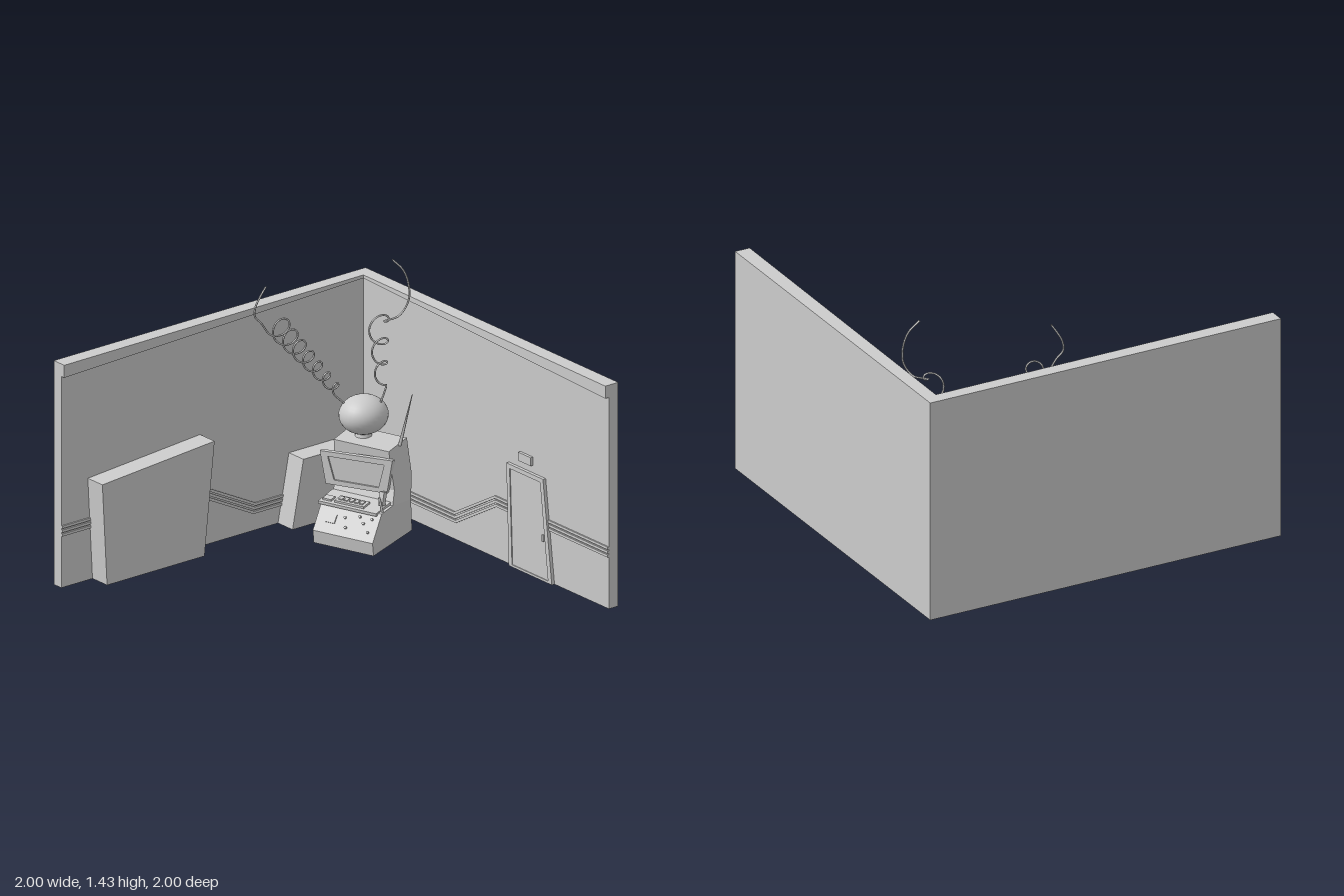
import * as THREE from 'three';
import { ConvexGeometry } from 'three/addons/geometries/ConvexGeometry.js';

const mat = new THREE.MeshStandardMaterial({ color: 0xcccccc, side: THREE.DoubleSide });

function add(parent, name, geo, x = 0, y = 0, z = 0) {
  const m = new THREE.Mesh(geo, mat);
  m.name = name;
  m.position.set(x, y, z);
  parent.add(m);
  return m;
}
const box = (w, h, d) => new THREE.BoxGeometry(w, h, d);
const v2 = (pts) => pts.map(([x, y]) => new THREE.Vector2(x, y));

// Flat outline pushed forward from z0 to z1, with an optional hole
function slab(pts, z0, z1, hole) {
  const s = new THREE.Shape(v2(pts));
  if (hole) s.holes.push(new THREE.Path(v2(hole)));
  const g = new THREE.ExtrudeGeometry(s, { depth: z1 - z0, bevelEnabled: false });
  return g.translate(0, 0, z0);
}
const hull = (pts) => new ConvexGeometry(pts.map((p) => new THREE.Vector3(...p)));

// Wall strip with three mitred bands; path runs in the wall plane
function bands(parent, path, miter) {
  for (const o of [-0.021, 0, 0.021]) {
    const edge = (d) => path.map(([x, y], i) =>
      [x + (i > 0 && i < path.length - 1 ? miter * (o + d) : 0), y + o + d]);
    add(parent, 'wallBand', slab([...edge(-0.007), ...edge(0.007).reverse()], -0.945, -0.932));
  }
}

// Cornice growing deeper and taller from the corner to the free end
function cornice(parent, corner, end) {
  const ring = (x, y, z) => [[x, y, -0.95], [x, y, z], [x, 1.2, z], [x, 1.2, -0.95]];
  add(parent, 'cornice', hull([...ring(corner, 1.183, -0.928), ...ring(end, 1.133, -0.917)]));
}

function backWall() {
  const g = new THREE.Group();
  g.name = 'backWall';
  add(g, 'wall', box(2, 1.2, 0.06), 0, 0.6, -0.97);
  cornice(g, -0.94, 1);
  bands(g, [[-0.94, 0.12], [-0.21, 0.12], [0.11, 0.305], [0.22, 0.305]], -0.27);
  bands(g, [[0.53, 0.305], [1, 0.305]], 0);
  // Crooked door with frame, inset panel and knob
  const outer = [[0.23, 0], [0.57, 0], [0.5, 0.545], [0.21, 0.545]];
  const inner = [[0.255, 0.012], [0.54, 0.012], [0.477, 0.522], [0.236, 0.522]];
  add(g, 'doorFrame', slab(outer, -0.945, -0.922, inner));
  add(g, 'door', slab(inner, -0.945, -0.927));
  add(g, 'doorHandle', box(0.012, 0.035, 0.01), 0.5, 0.23, -0.924);
  add(g, 'doorSign', box(0.1, 0.045, 0.02), 0.35, 0.607, -0.934);
  return g;
}

function sideWall() {
  const g = new THREE.Group();
  g.name = 'sideWall';
  g.rotation.y = Math.PI / 2;
  add(g, 'wall', box(1.94, 1.2, 0.06), -0.03, 0.6, -0.97);
  cornice(g, 0.94, -1);
  bands(g, [[-1, 0.305], [-0.13, 0.305], [0.235, 0.12], [0.94, 0.12]], 0.27);
  add(g, 'largeCabinet', slab([[-0.8, 0], [-0.175, 0], [-0.11, 0.6], [-0.83, 0.545]], -0.94, -0.825));
  add(g, 'smallCabinet', slab([[0.39, 0], [0.94, 0], [0.94, 0.36], [0.46, 0.36]], -0.94, -0.825));
  return g;
}

function machine() {
  const g = new THREE.Group();
  g.name = 'machine';
  g.position.set(-0.525, 0, -0.61);
  g.rotation.y = 0.336;

  // Cabinet: side profile (depth, height), widened unevenly front to back
  const profile = [[-0.2, 0], [0.2, 0], [0.21, 0.07], [0.115, 0.195], [0.0, 0.2], [-0.03, 0.27],
    [-0.01, 0.48], [-0.2, 0.49], [-0.215, 0.3], [-0.19, 0.17]];
  const body = slab(profile, -0.5, 0.5).rotateY(-Math.PI / 2);
  const p = body.attributes.position;
  for (let i = 0; i < p.count; i++) {
    const t = (p.getZ(i) + 0.2) / 0.4;
    const left = -0.2 + 0.025 * t;
    const right = 0.153 + 0.022 * t - 0.03 * Math.max(0, p.getY(i) - 0.2) / 0.29;
    p.setX(i, p.getX(i) < 0 ? left : right);
  }
  body.computeVertexNormals();
  add(g, 'cabinet', body);

  // Screen housing, turned a little against the cabinet
  const screen = new THREE.Group();
  screen.name = 'screen';
  screen.position.set(-0.03, 0, 0.032);
  screen.rotation.y = 0.16;
  g.add(screen);
  const rim = [[-0.165, 0.265], [0.165, 0.26], [0.195, 0.44], [-0.197, 0.437]];
  const opening = [[-0.12, 0.29], [0.12, 0.285], [0.15, 0.41], [-0.155, 0.412]];
  add(screen, 'screenRim', slab(rim, -0.025, 0, opening));
  add(screen, 'screenGlass', slab(opening, -0.025, -0.01));
  add(screen, 'screenBack', hull([...rim.map(([x, y]) => [x, y, -0.025]),
    ...rim.map(([x, y]) => [x * 0.9, 0.35 + (y - 0.35) * 0.45, -0.095])]));

  // Keyboard shelf with keys and a display strip
  const desk = new THREE.Group();
  desk.name = 'desk';
  desk.position.set(-0.02, 0.2, 0.065);
  desk.rotation.x = 0.12;
  g.add(desk);
  add(desk, 'shelf', box(0.34, 0.016, 0.14));
  add(desk, 'keyboard', box(0.17, 0.014, 0.06), 0.0, 0.012, 0.02);
  for (let i = 0; i < 5; i++) add(desk, 'key', box(0.02, 0.008, 0.03), -0.06 + i * 0.03, 0.021, 0.02);
  add(desk, 'sidePad', box(0.05, 0.012, 0.04), -0.13, 0.012, 0.03);

  // Sloped front panel with small controls
  const panel = new THREE.Group();
  panel.name = 'controlPanel';
  panel.position.set(0, 0.1325, 0.1625);
  panel.rotation.x = Math.atan2(0.125, 0.095);
  g.add(panel);
  add(panel, 'plate', box(0.055, 0.006, 0.045), -0.095, 0.003, 0);
  for (const [x, z] of [[-0.02, -0.02], [0.0, 0.03], [0.06, -0.04], [0.09, -0.01], [0.13, -0.04], [0.13, 0.03]])
    add(panel, 'button', new THREE.CylinderGeometry(0.007, 0.007, 0.012, 8), x, 0.004, z);

  // Handset and lever at the right of the screen
  add(g, 'handset', box(0.025, 0.07, 0.03), 0.135, 0.25, 0.05).rotation.x = -0.25;
  add(g, 'lever', new THREE.CylinderGeometry(0.006, 0.006, 0.08, 8), 0.15, 0.23, 0.09).rotation.z = 0.25;
  return g;
}

// Round wire through points given as [z, y], lying in an upright plane
function wire(parent, name, pts, toX, radius = 0.005) {
  const curve = new THREE.CatmullRomCurve3(pts.map(([z, y]) => new THREE.Vector3(toX(z), y, z)));
  add(parent, name, new THREE.TubeGeometry(curve, 260, radius, 6));
}

// Flat curls whose size grows along a line from a to b
function curls(a, b, turns, r0, r1, dir, phase) {
  const pts = [], n = turns * 12;
  for (let i = 0; i <= n; i++) {
    const t = i / n, ang = phase + dir * t * turns * Math.PI * 2, r = r0 + (r1 - r0) * t;
    pts.push([a[0] + (b[0] - a[0]) * t + r * Math.cos(ang), a[1] + (b[1] - a[1]) * t + r * Math.sin(ang)]);
  }
  return pts;
}

function head() {
  const g = new THREE.Group();
  g.name = 'head';
  add(g, 'ball', new THREE.SphereGeometry(0.125, 28, 18), -0.645, 0.598, -0.7).scale.set(0.98, 0.8, 1.02);
  add(g, 'neck', new THREE.CylinderGeometry(0.035, 0.045, 0.04, 16), -0.645, 0.497, -0.7);
  // Long spring leaning forward, and a shorter one leaning back
  wire(g, 'frontSpring', [[-0.62, 0.66],
    ...curls([-0.595, 0.72], [-0.25, 1.15], 7, 0.025, 0.06, 1, -1),
    [-0.17, 1.17], [-0.137, 1.21], [-0.14, 1.26], [-0.165, 1.31], [-0.197, 1.36]],
  (z) => -0.71 - (z + 0.59) * 0.222);
  wire(g, 'backSpring', [[-0.755, 0.66],
    ...curls([-0.76, 0.77], [-0.745, 1.12], 3, 0.025, 0.05, 1, 3.6),
    [-0.77, 1.1], [-0.84, 1.12], [-0.885, 1.19], [-0.89, 1.27], [-0.865, 1.36], [-0.813, 1.425]],
  (z) => -0.61 - (z + 0.69) * 0.45);
  // Straight aerial on the cabinet top
  const aerial = add(g, 'aerial', new THREE.CylinderGeometry(0.002, 0.009, 0.29, 8), -0.414, 0.617, -0.785);
  aerial.quaternion.setFromUnitVectors(new THREE.Vector3(0, 1, 0),
    new THREE.Vector3(0.055, 0.28, -0.035).normalize());
  return g;
}

export function createModel() {
  const model = new THREE.Group();
  model.name = 'controlRoom';
  model.add(backWall(), sideWall(), machine(), head());
  return model;
}
